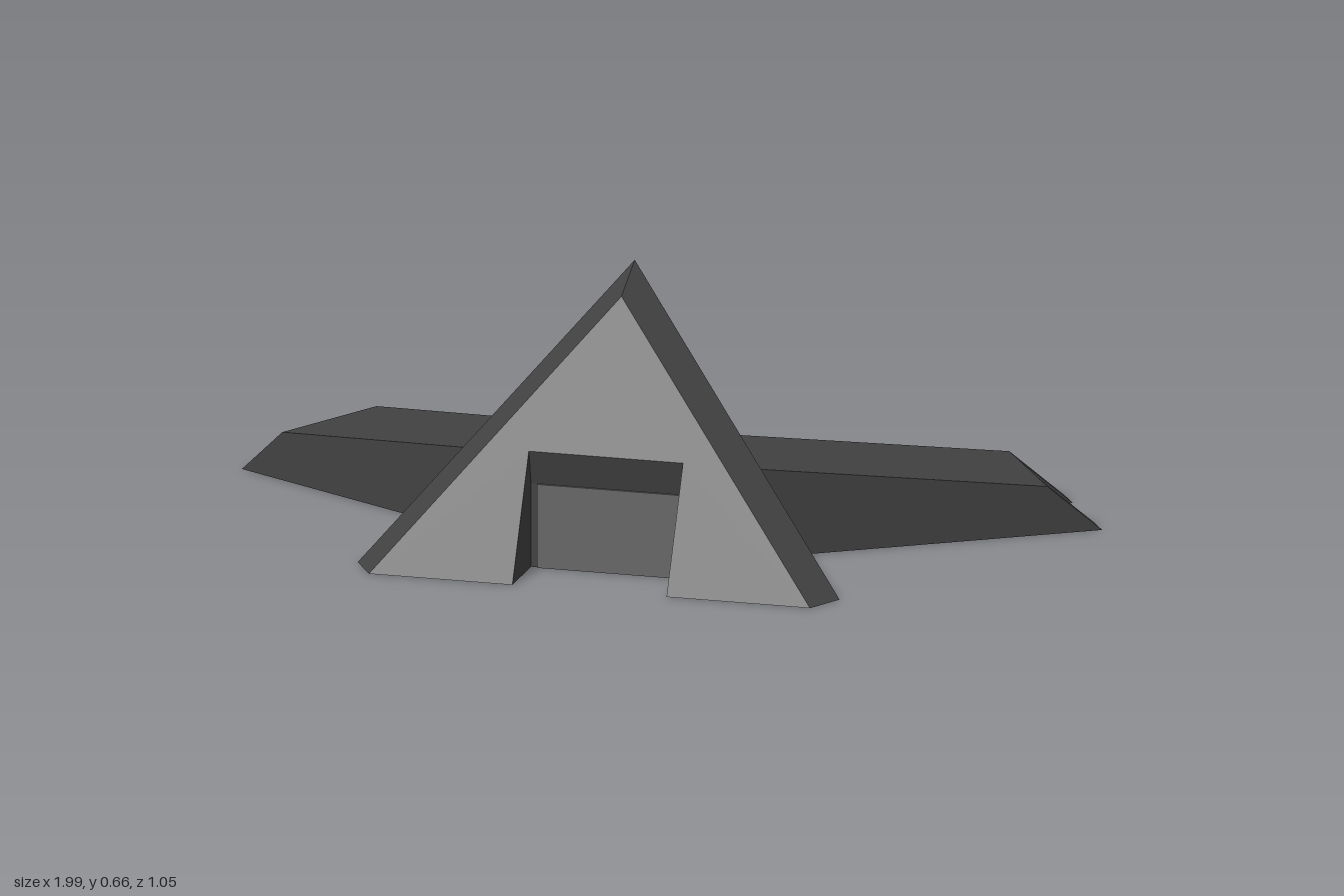
import * as THREE from 'three';

const hull = new THREE.MeshStandardMaterial({ color: 0x424242 });
hull.name = 'dark hull grey';
const panel = new THREE.MeshStandardMaterial({ color: 0x666666 });
panel.name = 'light panel grey';

function add(parent, name, geometry, material) {
  const mesh = new THREE.Mesh(geometry, material);
  mesh.name = name;
  parent.add(mesh);
  return mesh;
}

// Flat facets from polygons, each fanned from its first corner
function facets(polygons) {
  const out = [];
  for (const p of polygons)
    for (let i = 1; i < p.length - 1; i++) out.push(...p[0], ...p[i], ...p[i + 1]);
  const g = new THREE.BufferGeometry();
  g.setAttribute('position', new THREE.Float32BufferAttribute(out, 3));
  g.computeVertexNormals();
  return g;
}

function outline(points) {
  return new THREE.Shape(points.map(([x, y]) => new THREE.Vector2(x, y)));
}

function buildBody() {
  const body = new THREE.Group();
  body.name = 'body';

  // Ridge, shoulder and base corners
  const A = [0.01, 0.66, 0.11], F = [0.01, 0.605, 0.22], D = [0.06, 0.6, 0.14];
  const Lf = [-0.495, 0, 0.52], Rf = [0.535, 0, 0.52];
  const L = [-0.545, 0, 0.435], R = [0.58, 0, 0.435];
  const B = [-0.065, 0, -0.43], C = [0.045, 0, -0.43];

  // Doorway corners on the front slope and at the recessed wall
  const n1 = [-0.16, 0, 0.52], n2 = [-0.16, 0.275, 0.384];
  const n3 = [0.2, 0.275, 0.384], n4 = [0.2, 0, 0.52];
  const q1 = [-0.16, 0, 0.365], q1t = [-0.16, 0.195, 0.365];
  const q2 = [0.2, 0, 0.365], q2t = [0.2, 0.195, 0.365];

  // Side recesses beside the arms: back foot, front foot, tip, inner foot
  const ra = [0.184, 0, -0.205], rc = [0.286, 0, -0.04];
  const rt = [0.089, 0.285, -0.1], rb = [0.13, 0, -0.14];
  const la = [-0.19, 0, -0.205], lc = [-0.281, 0, -0.04];
  const lt = [-0.085, 0.285, -0.1], lb = [-0.13, 0, -0.14];

  add(body, 'frontSlope', facets([
    [F, Lf, n2], [Lf, n1, n2], [F, n2, n3], [F, n3, Rf], [n3, n4, Rf],
  ]), hull);
  add(body, 'cornerSlopes', facets([[A, L, Lf, F], [F, Rf, R, A]]), hull);
  add(body, 'leftSlope', facets([[D, R, rc], [D, rc, rt], [D, rt, C], [rt, ra, C]]), hull);
  add(body, 'rightSlope', facets([[A, lc, L], [A, lt, lc], [A, B, lt], [lt, B, la]]), hull);
  add(body, 'backSlope', facets([[A, D, C], [A, C, B]]), hull);
  add(body, 'sideRecesses', facets([
    [rt, rc, rb], [rt, rb, ra], [lt, lb, lc], [lt, la, lb],
  ]), hull);
  add(body, 'doorway', facets([
    [n1, q1, q1t, n2], [n4, n3, q2t, q2], [n2, q1t, q2t, n3], [q1t, q1, q2, q2t],
  ]), hull);

  const base = outline([B, C, ra, rb, rc, R, Rf, n4, q2, q1, n1, Lf, L, lc, lb, la]
    .map(([x, , z]) => [x, z]));
  add(body, 'base', new THREE.ShapeGeometry(base).rotateX(Math.PI / 2), hull);

  add(body, 'doorPanel', new THREE.BoxGeometry(0.335, 0.195, 0.006), panel)
    .position.set(0.0225, 0.0975, 0.368);
  return body;
}

// Sloping arm along local x with a notch cut into its tip
function buildArm(name, x, z, degrees) {
  const arm = new THREE.Group();
  arm.name = name;
  const width = 0.3, prong = 0.072, top = 0.692, length = 0.82;
  const strip = (label, tip, w0, w1) => {
    const shape = outline([[0, 0], [tip, 0], [top, 0.112], [0, 0.21]]);
    const g = new THREE.ExtrudeGeometry(shape, { depth: w1 - w0, bevelEnabled: false });
    add(arm, label, g.translate(0, 0, w0), hull);
  };
  strip('prongSide', length, 0, prong);
  strip('middle', top, prong, width - prong);
  strip('prongSide', length, width - prong, width);
  add(arm, 'tipPanel', new THREE.BoxGeometry(0.008, 0.1, 0.062), panel)
    .position.set(top + 0.003, 0.05, width / 2);
  arm.position.set(x, 0, z);
  arm.rotation.y = THREE.MathUtils.degToRad(degrees);
  return arm;
}

export function createModel() {
  const model = new THREE.Group();
  model.name = 'pyramidBase';
  model.add(
    buildBody(),
    buildArm('leftArm', 0.14, -0.086, 32.4),
    buildArm('rightArm', -0.286, 0.176, 150.8),
  );
  return model;
}
